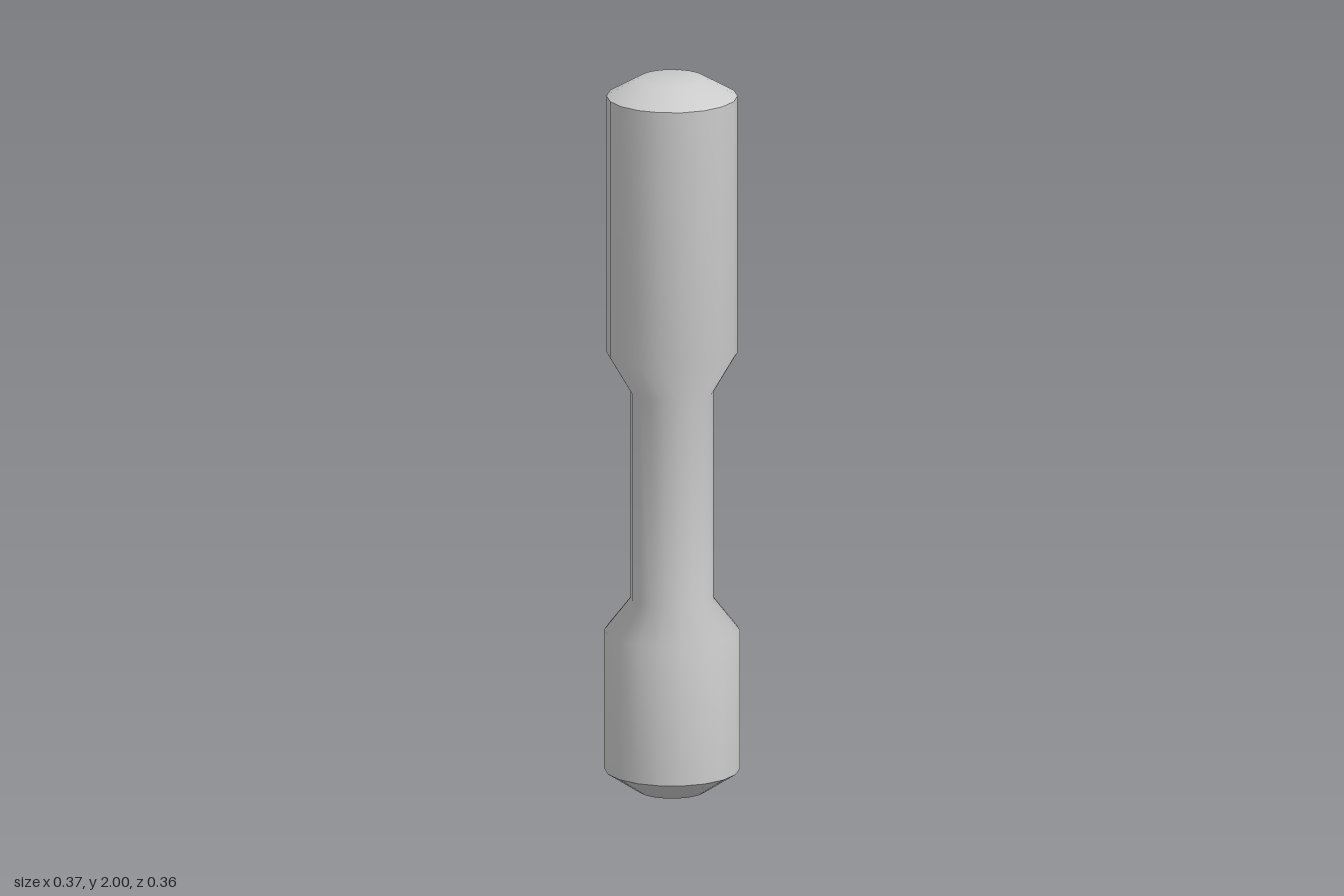
import * as THREE from 'three';

const SIDES = 18;

export function createModel() {
  const model = new THREE.Group();
  model.name = 'handle';
  const material = new THREE.MeshStandardMaterial({ color: 0xcccccc });

  // Revolve a [radius, height] profile, listed bottom to top, with a corner on the x axis
  const turned = (name, profile) => {
    const points = profile.map(([r, y]) => new THREE.Vector2(r, y));
    const mesh = new THREE.Mesh(new THREE.LatheGeometry(points, SIDES, Math.PI / 2), material);
    mesh.name = name;
    model.add(mesh);
  };

  // Separate lathes keep the two rims sharp while each surface stays smooth
  turned('bottomCap', [[0, 0], [0.092, 0], [0.184, 0.06]]);
  turned('body', [
    [0.184, 0.06], [0.184, 0.45],   // short lower grip
    [0.113, 0.54], [0.113, 1.12],   // narrow neck
    [0.178, 1.23], [0.178, 1.95],   // long upper grip
  ]);
  turned('topCap', [[0.178, 1.95], [0.09, 2], [0, 2]]);

  return model;
}
